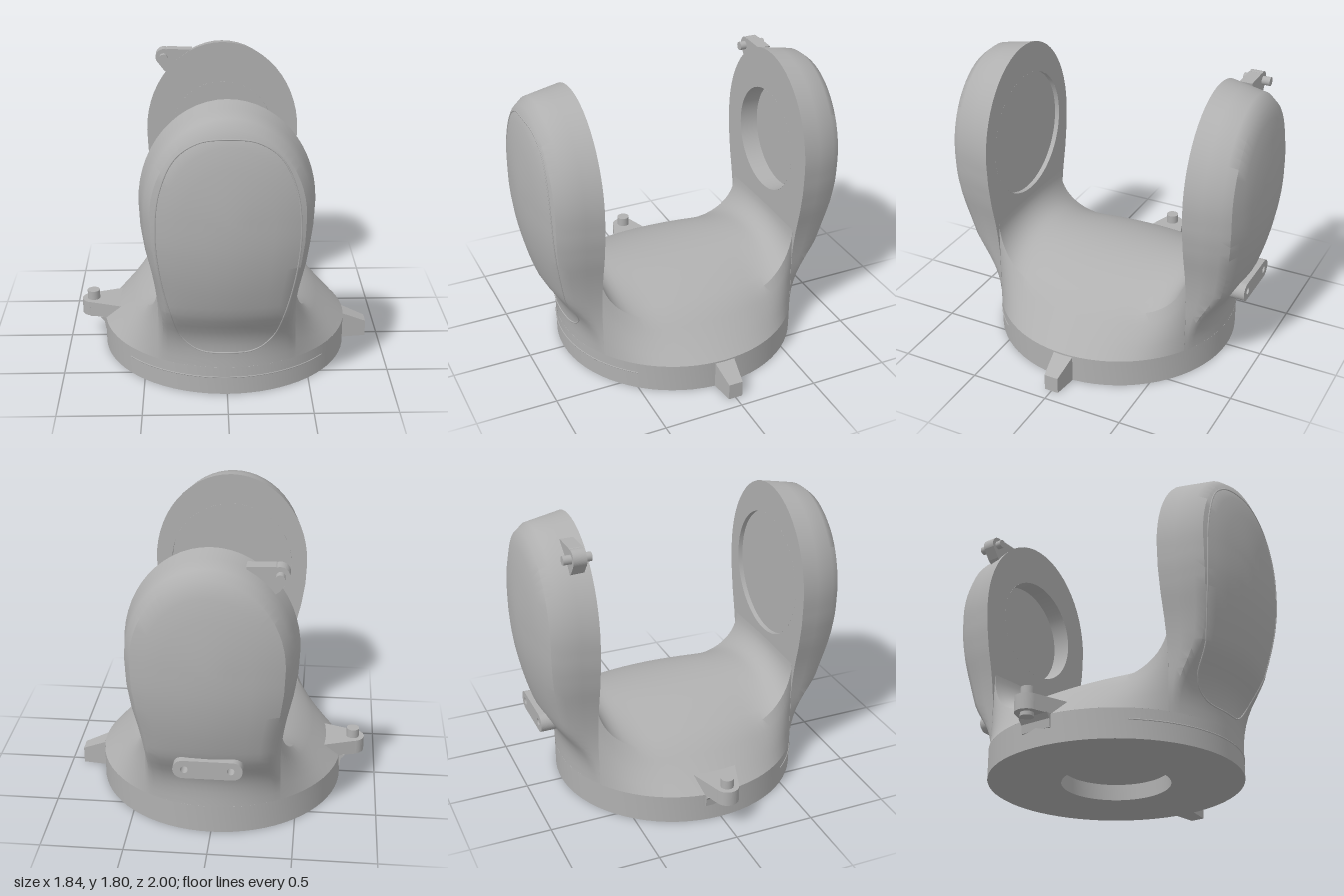
import * as THREE from 'three';
import { toCreasedNormals } from 'three/addons/utils/BufferGeometryUtils.js';

const R = 0.77, BASE_TOP = 0.18, INNER = 0.65, MID = 1.2, ARM_W = 0.505;

// piecewise-linear lookup in [key, value] pairs with rising keys
function lookup(table, k) {
  if (k <= table[0][0]) return table[0][1];
  for (let i = 1; i < table.length; i++) {
    const [a, va] = table[i - 1], [b, vb] = table[i];
    if (k <= b) return va + (vb - va) * (k - a) / (b - a);
  }
  return table[table.length - 1][1];
}

const WIDTH = [[0.18, 0.413], [0.45, 0.407], [0.55, 0.41], [0.65, 0.422], [0.75, 0.44],
  [0.9, 0.475], [1.05, 0.498], [1.2, ARM_W]];
const DEPTH = [[0.18, 0.77], [0.3, 0.785], [0.4, 0.82], [0.5, 0.87], [0.6, 0.91], [0.7, 0.94],
  [0.8, 0.965], [0.9, 0.983], [1, 0.995], [1.1, 1]];
const BULGE = [[0, 1], [0.25, 0.98], [0.5, 0.93], [0.7, 0.87], [0.86, 0.78], [0.93, 0.63], [1, 0]];

// outer surface of an arm: inset s is 0 on the spine and 1 on the rim
function armZ(x, y, s) {
  const arm = INNER + (lookup(DEPTH, y) - INNER) * lookup(BULGE, s);
  const round = Math.sqrt(Math.max(0, R * R - x * x));
  return THREE.MathUtils.lerp(round, arm, THREE.MathUtils.smoothstep(y, BASE_TOP, 0.6));
}

// rim of an arm, from the lower +x corner over the top to the lower -x corner
function armRim() {
  const side = [], arc = [];
  for (let i = 0; i < 20; i++) {
    const y = BASE_TOP + (MID - BASE_TOP) * i / 20;
    side.push(new THREE.Vector2(lookup(WIDTH, y), y));
  }
  for (let i = 0; i <= 28; i++) {
    const a = Math.PI * i / 28;
    arc.push(new THREE.Vector2(ARM_W * Math.cos(a), MID + 0.6 * Math.sin(a)));
  }
  return [...side, ...arc, ...side.map(p => new THREE.Vector2(-p.x, p.y)).reverse()];
}

// surface from a grid of points; the front is along du x dv
function gridSurface(nu, nv, point, crease) {
  const pos = [], idx = [];
  for (let i = 0; i <= nu; i++) for (let j = 0; j <= nv; j++) pos.push(...point(i, j));
  for (let i = 0; i < nu; i++) for (let j = 0; j < nv; j++) {
    const a = i * (nv + 1) + j, b = a + nv + 1;
    idx.push(a, b, b + 1, a, b + 1, a + 1);
  }
  const g = new THREE.BufferGeometry();
  g.setAttribute('position', new THREE.Float32BufferAttribute(pos, 3));
  g.setIndex(idx);
  return toCreasedNormals(g, crease);
}

export function createModel() {
  const model = new THREE.Group();
  const grey = new THREE.MeshStandardMaterial({ color: 0xb0b0b0, side: THREE.DoubleSide });
  grey.name = 'grey';
  const add = (name, geometry, parent = model) => {
    const m = new THREE.Mesh(geometry, grey);
    m.name = name;
    parent.add(m);
    return m;
  };
  const extrude = (shape, depth) =>
    new THREE.ExtrudeGeometry(shape, { depth, bevelEnabled: false, curveSegments: 16 });

  // round base with a shallow socket underneath
  const profile = [[0, 0.1], [0.33, 0.1], [0.33, 0], [R, 0], [R, BASE_TOP]];
  add('base', toCreasedNormals(
    new THREE.LatheGeometry(profile.map(p => new THREE.Vector2(...p)), 72), 0.5));

  // arched saddle between the arms, with shoulders sloping down to the base
  const fillet = (z, r) => r - Math.sqrt(Math.max(0, r * r - Math.max(0, z - (INNER - r)) ** 2));
  add('saddle', gridSurface(24, 36, (i, j) => {
    const z = INNER * Math.cos(Math.PI * j / 36), az = Math.abs(z);
    const edge = 0.53 - 0.13 * (az / INNER) ** 2, outer = Math.sqrt(R * R - z * z);
    const crest = 0.595 + fillet(az, 0.15), rim = 0.415 + fillet(az, 0.32);
    const k = (i - 12) / 8, u = Math.min(1, Math.abs(k)), v = Math.max(0, Math.abs(k) - 1) * 2;
    const x = Math.sign(k) * (edge * u + (outer - edge) * v);
    const y = v > 0 ? rim + (BASE_TOP - rim) * v : crest + (rim - crest) * u * u;
    return [x, y, z];
  }, 0.45));

  // arms: domed shell, flat inner face and round recess
  const rim = armRim();
  const layers = [1, 0.965, 0.93, 0.86, 0.7, 0.5, 0.25, 0];
  function arm(name, recessR, recessDepth) {
    const g = new THREE.Group();
    g.name = name;
    model.add(g);
    add('armShell', gridSurface(rim.length - 1, layers.length - 1, (i, j) => {
      const p = rim[i], s = layers[j], x = p.x * s;
      return [x, p.y > MID ? MID + (p.y - MID) * s : p.y, armZ(x, p.y, s)];
    }, 0.6), g);
    const face = new THREE.Shape(rim);
    face.holes.push(new THREE.Path().absarc(0, MID, recessR, 0, Math.PI * 2, true));
    const inner = add('innerFace', new THREE.ShapeGeometry(face, 48), g);
    inner.rotation.y = Math.PI;
    inner.position.z = INNER;
    const wall = add('recessWall',
      new THREE.CylinderGeometry(recessR, recessR, recessDepth, 48, 1, true), g);
    wall.rotation.x = Math.PI / 2;
    wall.position.set(0, MID, INNER + recessDepth / 2);
    const floor = add('recessFloor', new THREE.CircleGeometry(recessR, 48), g);
    floor.rotation.y = Math.PI;
    floor.position.set(0, MID, INNER + recessDepth);
    return g;
  }
  const frontArm = arm('frontArm', 0.4, 0.03);
  arm('backArm', 0.335, 0.12).rotation.y = Math.PI;

  // seam around the front panel, laid on the domed surface
  const half = [[0, 0.28], [0.17, 0.295], [0.27, 0.38], [0.33, 0.58], [0.385, 0.85],
    [0.405, 1.1], [0.38, 1.35], [0.29, 1.55], [0.16, 1.64], [0, 1.66]];
  const loop = [...half, ...half.slice(1, -1).reverse().map(([x, y]) => [-x, y])];
  const flat = new THREE.CatmullRomCurve3(loop.map(([x, y]) => new THREE.Vector3(x, y, 0)), true);
  const seam = flat.getPoints(90).slice(0, -1).map(p => {
    const s = p.y > MID ? Math.hypot(p.x / ARM_W, (p.y - MID) / 0.6) : Math.abs(p.x) / lookup(WIDTH, p.y);
    return new THREE.Vector3(p.x, p.y, armZ(p.x, p.y, s));
  });
  add('panelSeam', new THREE.TubeGeometry(
    new THREE.CatmullRomCurve3(seam, true), 180, 0.005, 6, true), frontArm);

  // seam on the front of the base
  const baseSeam = add('baseSeam', new THREE.TorusGeometry(R, 0.004, 6, 48, 1.73));
  baseSeam.rotation.set(Math.PI / 2, 0, Math.PI / 2 - 0.865);
  baseSeam.position.y = 0.113;

  // lug with upright pin on the right of the base
  const lug = new THREE.Shape();
  lug.moveTo(-0.6, -0.16);
  lug.lineTo(-0.865, -0.07);
  lug.absarc(-0.847, 0, 0.073, -Math.PI * 0.58, Math.PI * 0.58, true);
  lug.lineTo(-0.6, 0.16);
  const lugMesh = add('sideLug', extrude(lug, 0.095));
  lugMesh.rotation.x = -Math.PI / 2;
  lugMesh.position.y = 0.178;
  add('sideLugPin', new THREE.CylinderGeometry(0.04, 0.04, 0.175, 24)).position.set(-0.847, 0.243, 0);
  const brace = new THREE.Shape([[-0.7, 0.05], [-0.768, 0.1], [-0.775, 0.15], [-0.8, 0.18], [-0.7, 0.18]]
    .map(p => new THREE.Vector2(...p)));
  add('sideLugBrace', extrude(brace, 0.2)).position.z = -0.1;

  // tapered tab on the left of the base
  const tab = new THREE.BoxGeometry(0.2, 1, 1).translate(0.82, 0.5, 0);
  const tp = tab.attributes.position;
  for (let i = 0; i < tp.count; i++) {
    const out = tp.getX(i) > 0.8;
    tp.setY(i, tp.getY(i) * (out ? 0.105 : 0.19));
    tp.setZ(i, tp.getZ(i) * (out ? 0.09 : 0.14));
  }
  tab.computeVertexNormals();
  add('sideTab', tab);

  // pin lug near the top of the back arm
  const ear = new THREE.Shape();
  ear.moveTo(-0.2, 1.74);
  ear.lineTo(-0.36, 1.745);
  ear.absarc(-0.385, 1.69, 0.055, Math.PI * 0.4, Math.PI * 1.15, false);
  ear.lineTo(-0.385, 1.6);
  ear.lineTo(-0.25, 1.5);
  add('topLug', extrude(ear, 0.08)).position.z = -0.77;
  const topPin = add('topLugPin', new THREE.CylinderGeometry(0.027, 0.027, 0.17, 20));
  topPin.rotation.x = Math.PI / 2;
  topPin.position.set(-0.388, 1.69, -0.735);

  // two-hole bracket low on the back arm
  const bar = new THREE.Shape();
  bar.absarc(0.145, 0, 0.058, -Math.PI / 2, Math.PI / 2, false);
  bar.absarc(-0.145, 0, 0.058, Math.PI / 2, Math.PI * 1.5, false);
  for (const x of [-0.135, 0.135])
    bar.holes.push(new THREE.Path().absarc(x, 0, 0.022, 0, Math.PI * 2, true));
  add('backBracket', extrude(bar, 0.12)).position.set(0, 0.54, -0.94);

  return model;
}
